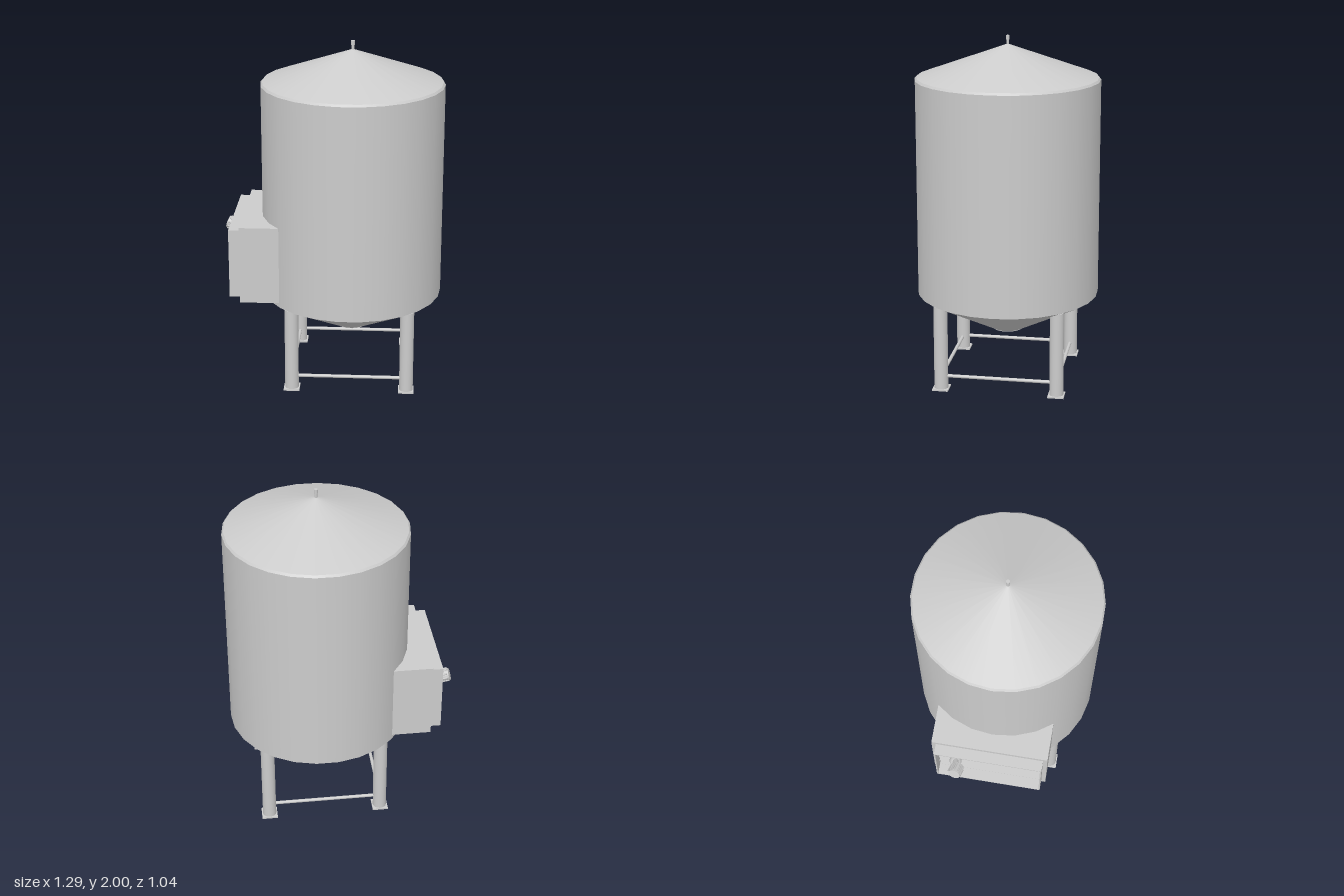
import * as THREE from 'three';

const CX = 0.117; // tank axis
const SIDES = 26;
const mat = new THREE.MeshStandardMaterial({ color: 0xcccccc, side: THREE.DoubleSide });

function add(parent, name, geometry, x = 0, y = 0, z = 0) {
  const mesh = new THREE.Mesh(geometry, mat);
  mesh.name = name;
  mesh.position.set(x, y, z);
  parent.add(mesh);
  return mesh;
}

// Round section between two heights, with a corner on the x axis
function section(rTop, rBottom, y0, y1) {
  return new THREE.CylinderGeometry(rTop, rBottom, y1 - y0, SIDES, 1, true)
    .rotateY(Math.PI / 2).translate(0, (y0 + y1) / 2, 0);
}

// Cylinder between two points
function rod(parent, name, a, b, r, sides = 16) {
  const from = new THREE.Vector3(...a), to = new THREE.Vector3(...b);
  const dir = to.clone().sub(from);
  const mesh = add(parent, name, new THREE.CylinderGeometry(r, r, dir.length(), sides));
  mesh.position.copy(from).add(to).multiplyScalar(0.5);
  mesh.quaternion.setFromUnitVectors(new THREE.Vector3(0, 1, 0), dir.normalize());
  return mesh;
}

// Rectangular frame lying in the z-y plane, extruded toward -x
function frame(w, h, holeW, holeH, depth) {
  const rect = (path, a, b) => path.moveTo(-a / 2, -b / 2).lineTo(a / 2, -b / 2)
    .lineTo(a / 2, b / 2).lineTo(-a / 2, b / 2).closePath();
  const shape = rect(new THREE.Shape(), w, h);
  shape.holes.push(rect(new THREE.Path(), holeW, holeH));
  return new THREE.ExtrudeGeometry(shape, { depth, bevelEnabled: false }).rotateY(-Math.PI / 2);
}

function buildTank() {
  const tank = new THREE.Group();
  tank.name = 'tank';
  tank.position.x = CX;
  add(tank, 'tankWall', section(0.525, 0.525, 0.51, 1.755));
  add(tank, 'roofRim', section(0.515, 0.525, 1.755, 1.767));
  add(tank, 'roofCone', section(0.008, 0.515, 1.767, 1.95));
  add(tank, 'bottomCone', section(0.525, 0.09, 0.28, 0.51));
  add(tank, 'bottomPlate', new THREE.CylinderGeometry(0.09, 0.09, 0.006, SIDES).rotateY(Math.PI / 2), 0, 0.28, 0);
  rod(tank, 'drainPipe', [0, 0.257, 0], [0, 0.28, 0], 0.011);
  rod(tank, 'ventPipe', [0, 1.94, 0], [0, 1.98, 0], 0.008);
  rod(tank, 'ventCap', [0, 1.975, 0], [0, 2, 0], 0.011);
  return tank;
}

function buildStand() {
  const stand = new THREE.Group();
  stand.name = 'stand';
  stand.position.x = CX;
  const d = 0.333;
  const plate = new THREE.Shape([[-1, -1], [1, -1], [1, 1], [-1, 1]]
    .map(([x, y]) => new THREE.Vector2(x * 0.046, y * 0.046)));
  plate.holes.push(new THREE.Path().absarc(0, 0, 0.034, 0, Math.PI * 2, true));
  const plateGeo = new THREE.ExtrudeGeometry(plate, { depth: 0.009, bevelEnabled: false }).rotateX(-Math.PI / 2);
  for (const sx of [-1, 1]) {
    for (const sz of [-1, 1]) {
      rod(stand, 'leg', [sx * d, 0.003, sz * d], [sx * d, 0.5, sz * d], 0.04, 24);
      add(stand, 'footPlate', plateGeo, sx * d, 0, sz * d);
    }
    // Braces along x and along z
    rod(stand, 'brace', [-d, 0.08, sx * d], [d, 0.08, sx * d], 0.01, 12);
    rod(stand, 'brace', [sx * d, 0.08, -d], [sx * d, 0.08, d], 0.01, 12);
  }
  return stand;
}

function buildCabinet() {
  const cabinet = new THREE.Group();
  cabinet.name = 'valveCabinet';
  // Sheet-metal housing, front flange and projecting collar
  add(cabinet, 'housing', frame(0.675, 0.455, 0.665, 0.445, 0.245), -0.265, 0.763, -0.002);
  add(cabinet, 'flange', frame(0.675, 0.455, 0.605, 0.385, 0.006), -0.504, 0.763, -0.002);
  add(cabinet, 'collar', frame(0.625, 0.405, 0.609, 0.389, 0.064), -0.509, 0.763, -0.002);
  // Canister hanging from the ceiling
  rod(cabinet, 'canister', [-0.43, 0.75, 0.245], [-0.43, 0.985, 0.245], 0.06, 24);
  return cabinet;
}

function buildValve() {
  const valve = new THREE.Group();
  valve.name = 'valve';
  // Pipe from the tank wall, body and downward outlet
  rod(valve, 'valvePipe', [-0.36, 0.77, -0.2], [-0.53, 0.77, -0.2], 0.026);
  rod(valve, 'pipeFlange', [-0.495, 0.77, -0.2], [-0.515, 0.77, -0.2], 0.042);
  add(valve, 'valveBody', new THREE.SphereGeometry(0.036, 16, 12), -0.535, 0.775, -0.2);
  rod(valve, 'outlet', [-0.54, 0.775, -0.2], [-0.565, 0.745, -0.205], 0.02);
  // Tilted stem with a ribbed hand knob
  rod(valve, 'stem', [-0.53, 0.79, -0.2], [-0.6, 0.825, -0.186], 0.018);
  const knob = rod(valve, 'knob', [-0.575, 0.818, -0.178], [-0.636, 0.838, -0.19], 0.036, 18);
  for (let i = 0; i < 9; i++) {
    const a = (i / 9) * Math.PI * 2;
    add(knob, 'knobRib', new THREE.CylinderGeometry(0.006, 0.006, 0.05, 6),
      Math.cos(a) * 0.036, 0, Math.sin(a) * 0.036);
  }
  return valve;
}

export function createModel() {
  const model = new THREE.Group();
  model.name = 'storageTank';
  model.add(buildTank(), buildStand(), buildCabinet(), buildValve());
  return model;
}
